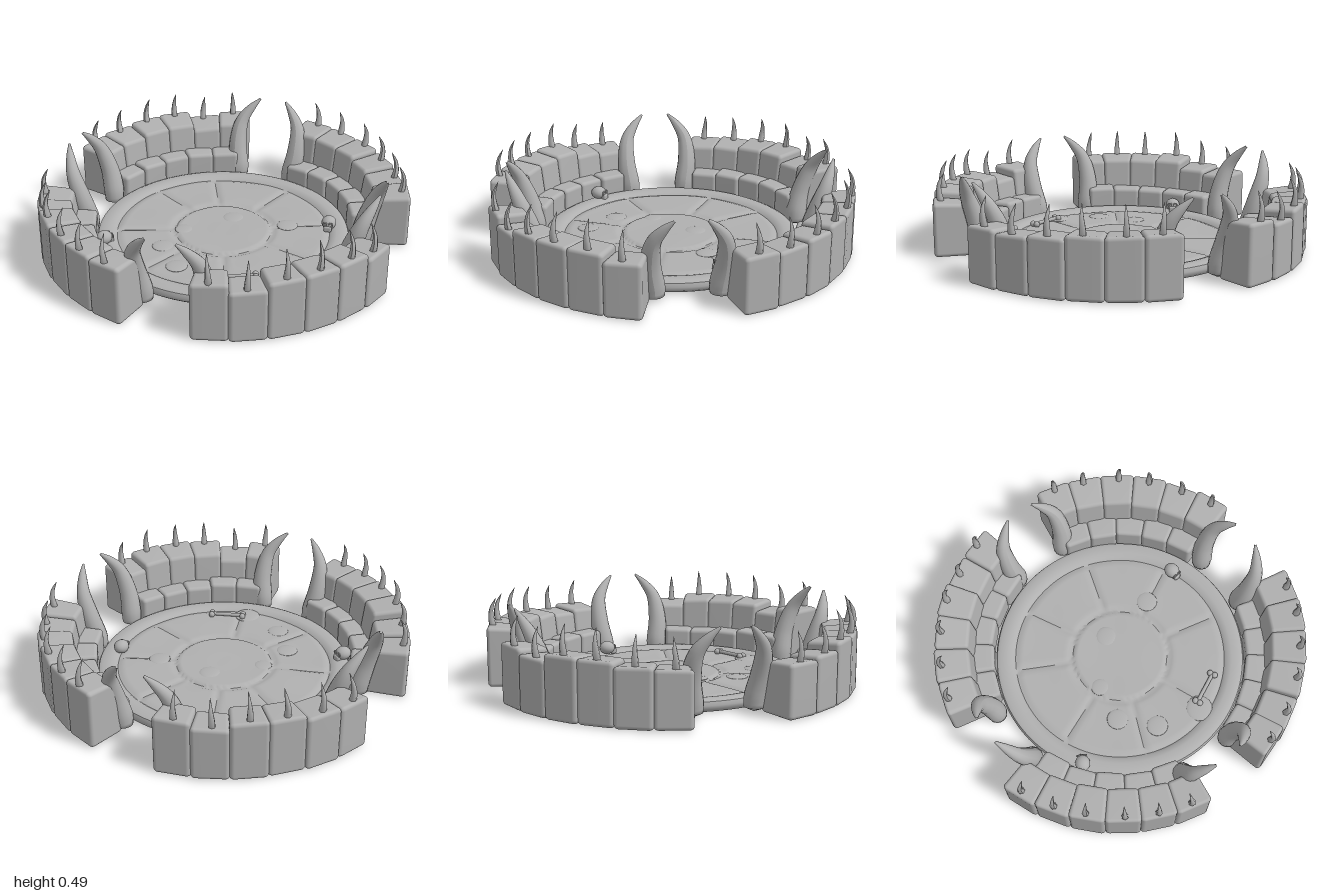
import * as THREE from 'three';
import { mergeVertices, toCreasedNormals } from 'three/addons/utils/BufferGeometryUtils.js';
import { RoundedBoxGeometry } from 'three/addons/geometries/RoundedBoxGeometry.js';

const DEG = Math.PI / 180;
const stone = new THREE.MeshStandardMaterial({ color: 0xb0b0b0 });
stone.name = 'grey stone';

let seed = 7;
const rnd = () => (seed = (seed * 16807) % 2147483647) / 2147483647;
const jitter = (a) => (rnd() - 0.5) * 2 * a;
const V = (x, y, z) => new THREE.Vector3(x, y, z);
// Polar position: the angle in degrees starts at +z and turns towards +x
const polar = (deg, r, y) => V(r * Math.sin(deg * DEG), y, r * Math.cos(deg * DEG));

function add(parent, name, geometry) {
  const mesh = new THREE.Mesh(geometry, stone);
  mesh.name = name;
  parent.add(mesh);
  return mesh;
}

// Rounded block bent into a ring sector; lean pushes the top of its inner face outwards
function sectorBlock(mid, width, r0, r1, height, bevel, lean) {
  const r = (r0 + r1) / 2, span = width * DEG * r, depth = r1 - r0;
  let g = new RoundedBoxGeometry(span, height, depth, 3, bevel);
  g.deleteAttribute('normal');
  g.deleteAttribute('uv');
  g = mergeVertices(g, 1e-4);
  const p = g.attributes.position;
  const tilt = jitter(0.008);
  for (let i = 0; i < p.count; i++) {
    const y = p.getY(i) + height / 2, k = y / height;
    const inner = 0.5 - p.getZ(i) / depth;
    const a = mid + (p.getX(i) / r) / DEG;
    const v = polar(a, r + p.getZ(i) + lean * k * inner, y + (tilt * p.getX(i) / span - 0.015 * inner * (lean > 0)) * k);
    p.setXYZ(i, v.x, v.y, v.z);
  }
  g.computeVertexNormals();
  return g;
}

// Curved tapering horn through the points, closed at both ends
function horn(points, radii, segs, sides) {
  const curve = new THREE.CatmullRomCurve3(points);
  const g = new THREE.TubeGeometry(curve, segs, 1, sides);
  const p = g.attributes.position, v = V();
  for (let i = 0; i <= segs; i++) {
    const c = curve.getPointAt(i / segs);
    const f = (i / segs) * (radii.length - 1), n = Math.min(Math.floor(f), radii.length - 2);
    const rad = i === 0 ? 0 : THREE.MathUtils.lerp(radii[n], radii[n + 1], f - n);
    for (let j = 0; j <= sides; j++) {
      const k = i * (sides + 1) + j;
      v.fromBufferAttribute(p, k).sub(c).multiplyScalar(rad).add(c);
      p.setXYZ(k, v.x, v.y, v.z);
    }
  }
  g.computeVertexNormals();
  return g;
}

// Round floor with a raised rim, a centre stone and wedge slabs split by grooves
function floorGeometry() {
  const pts = [[0, 0], [0.69, 0], [0.708, 0.015], [0.712, 0.035], [0.704, 0.055], [0.685, 0.064], [0.64, 0.064], [0.615, 0.058]]
    .map(([x, y]) => new THREE.Vector2(x, y));
  for (let r = 0.6; r > 0.001; r -= 0.015) pts.push(new THREE.Vector2(r, 0.045));
  pts.push(new THREE.Vector2(0, 0.045));
  const g = new THREE.LatheGeometry(pts, 144);
  const p = g.attributes.position;
  const grooves = [20, 75, 115, 160, 205, 240, 290, 335];
  const step = THREE.MathUtils.smoothstep;
  for (let i = 0; i < p.count; i++) {
    const x = p.getX(i), z = p.getZ(i), r = Math.hypot(x, z);
    if (p.getY(i) < 0.04 || r > 0.605) continue;
    let h = 0.012 * (1 - step(r, 0.255, 0.28));
    if (r > 0.27) {
      const a = (Math.atan2(x, z) / DEG + 360) % 360;
      const near = Math.min(...grooves.map((q) => Math.abs(((a - q + 540) % 360) - 180)));
      const gap = step(near * DEG * r, 0.005, 0.025);
      h = 0.01 * gap * step(r, 0.28, 0.31) * (1 - step(r, 0.57, 0.6));
    }
    p.setY(i, 0.045 + h + 0.002 * Math.sin(x * 13) * Math.cos(z * 11) * step(r, 0, 0.1));
  }
  g.deleteAttribute('normal');
  g.deleteAttribute('uv');
  return toCreasedNormals(mergeVertices(g, 1e-5), 0.7);
}

// One curved wall of blocks with spikes, a stone bench and a tusk at each end
function buildWall(name, toAngle, heights) {
  const wall = new THREE.Group();
  wall.name = name;
  const start = 10.5, w = 65.5 / 6;
  heights.forEach((h, i) => {
    const t = start + w * (i + 0.5), R = 1.022 + 0.002 * i + jitter(0.005);
    add(wall, 'wallBlock', sectorBlock(toAngle(t), w + 0.25, 0.8, R, h, 0.022, 0.04));
    const a = toAngle(t + jitter(0.6)), twist = jitter(0.8);
    add(wall, 'spike', horn([
      polar(a, 0.985, h - 0.03), polar(a, 0.998, h + 0.04),
      polar(a + twist / 2, 0.994, h + 0.09), polar(a + twist, 0.968, h + 0.148),
    ], [0.019, 0.019, 0.014, 0.009, 0.001], 10, 6));
  });
  const sw = 60 / 5;
  for (let i = 0; i < 5; i++) {
    const t = 13 + sw * (i + 0.5);
    add(wall, 'benchBlock', sectorBlock(toAngle(t), sw + 0.2, 0.715 + jitter(0.008), 0.84, 0.16 + jitter(0.012), 0.022, 0));
  }
  // Path as seen at the front gate; the second tusk swaps x and z
  const path = [[0.165, 0, 0.755], [0.17, 0.07, 0.757], [0.188, 0.2, 0.785], [0.178, 0.34, 0.835], [0.13, 0.42, 0.872], [0.08, 0.475, 0.9]];
  const sx = Math.sign(Math.sin(toAngle(45) * DEG)), sz = Math.sign(Math.cos(toAngle(45) * DEG));
  const radii = [0.052, 0.06, 0.057, 0.052, 0.046, 0.036, 0.024, 0.006];
  for (const swap of [false, true]) {
    const pts = path.map(([x, y, z]) => (swap ? V(sx * z, y, sz * x) : V(sx * x, y, sz * z)));
    add(wall, 'gateTusk', horn(pts, radii, 24, 14));
  }
  return wall;
}

// Small skull with brow, muzzle and hollow-looking eye bumps
function buildSkull(x, z, y, turn) {
  const skull = new THREE.Group();
  skull.name = 'skull';
  add(skull, 'cranium', new THREE.SphereGeometry(0.042, 16, 12)).scale.set(1, 0.9, 1.1);
  add(skull, 'jaw', new RoundedBoxGeometry(0.045, 0.035, 0.04, 2, 0.01)).position.set(0, -0.02, 0.035);
  for (const s of [-1, 1]) {
    const socket = add(skull, 'eyeSocket', new THREE.TorusGeometry(0.011, 0.004, 6, 12));
    socket.position.set(s * 0.016, 0.006, 0.042);
  }
  skull.position.set(x, y, z);
  skull.rotation.y = turn;
  return skull;
}

// Thin bone with a double knob at each end
function buildBone() {
  const bone = new THREE.Group();
  bone.name = 'bone';
  add(bone, 'boneShaft', new THREE.CylinderGeometry(0.011, 0.011, 0.18, 10)).rotation.z = Math.PI / 2;
  for (const s of [-1, 1]) for (const k of [-1, 1]) {
    add(bone, 'boneKnob', new THREE.SphereGeometry(0.018, 10, 8)).position.set(s * 0.093, 0, k * 0.014);
  }
  bone.position.set(0.25, 0.068, 0.46);
  bone.rotation.y = 0.4;
  return bone;
}

export function createModel() {
  const model = new THREE.Group();
  model.name = 'stoneArena';
  add(model, 'floor', floorGeometry());
  model.add(buildWall('frontLeftWall', (t) => t, [0.33, 0.29, 0.33, 0.335, 0.335, 0.3]));
  model.add(buildWall('frontRightWall', (t) => -t, [0.33, 0.335, 0.335, 0.34, 0.3, 0.285]));
  model.add(buildWall('backLeftWall', (t) => 180 - t, [0.335, 0.33, 0.33, 0.315, 0.3, 0.31]));
  model.add(buildWall('backRightWall', (t) => 180 + t, [0.33, 0.3, 0.335, 0.33, 0.31, 0.3]));
  model.add(buildSkull(0.56, -0.21, 0.092, 0.1));
  model.add(buildSkull(-0.565, 0.375, 0.092, 2.6));
  model.add(buildBone());
  // Worn pebbles set low into the floor
  for (const [x, z, r] of [[0.15, 0.53, 0.075], [-0.1, 0.46, 0.06], [-0.25, 0.29, 0.06], [-0.21, 0.08, 0.05], [0.33, -0.16, 0.06], [0.01, -0.14, 0.06]]) {
    const pebble = add(model, 'floorPebble', new THREE.SphereGeometry(r, 16, 10));
    pebble.scale.y = 0.15;
    pebble.position.set(x, 0.054, z);
  }
  return model;
}
